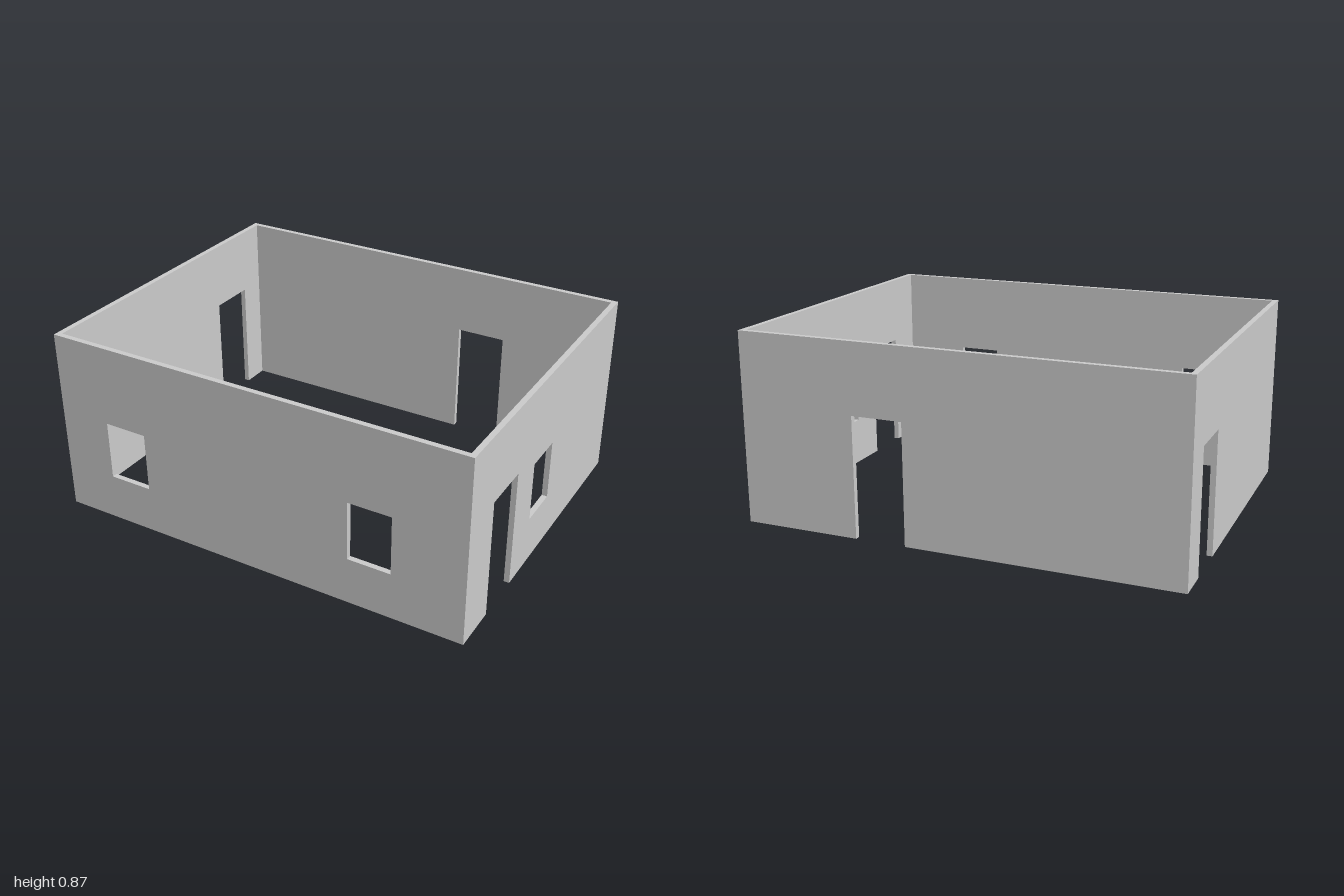
import * as THREE from 'three';

const HALF_X = 1, HALF_Z = 0.78, HEIGHT = 0.87, THICK = 0.025;
const DOOR_TOP = 0.55, SILL = 0.22, LINTEL = 0.495;

const material = new THREE.MeshStandardMaterial({ color: 0xcccccc, flatShading: true });

// Upright wall from -half to +half; doors notch the bottom edge, windows are holes.
// Openings are [start, end] along the wall.
function wall(name, half, { doors = [], windows = [] }) {
  const shape = new THREE.Shape();
  shape.moveTo(-half, 0);
  for (const [a, b] of doors) {
    shape.lineTo(a, 0);
    shape.lineTo(a, DOOR_TOP);
    shape.lineTo(b, DOOR_TOP);
    shape.lineTo(b, 0);
  }
  shape.lineTo(half, 0);
  shape.lineTo(half, HEIGHT);
  shape.lineTo(-half, HEIGHT);
  shape.closePath();

  for (const [a, b] of windows) {
    const hole = new THREE.Path();
    hole.moveTo(a, SILL);
    hole.lineTo(a, LINTEL);
    hole.lineTo(b, LINTEL);
    hole.lineTo(b, SILL);
    hole.closePath();
    shape.holes.push(hole);
  }

  const geometry = new THREE.ExtrudeGeometry(shape, { depth: THICK, bevelEnabled: false });
  const mesh = new THREE.Mesh(geometry, material);
  mesh.name = name;
  return mesh;
}

export function createModel() {
  const house = new THREE.Group();
  house.name = 'houseWalls';

  // Front wall with two windows
  const front = wall('frontWall', HALF_X, { windows: [[-0.75, -0.545], [0.47, 0.67]] });
  front.position.z = HALF_Z - THICK;

  // Back wall with a door
  const back = wall('backWall', HALF_X, { doors: [[0.225, 0.46]] });
  back.position.z = -HALF_Z;

  // Side walls fit between front and back; their length runs along +z
  const sideHalf = HALF_Z - THICK;
  const left = wall('leftWall', sideHalf, { doors: [[0.325, 0.562]], windows: [[-0.055, 0.145]] });
  left.rotation.y = -Math.PI / 2;
  left.position.x = HALF_X;

  const right = wall('rightWall', sideHalf, { doors: [[-0.62, -0.385]] });
  right.rotation.y = -Math.PI / 2;
  right.position.x = -HALF_X + THICK;

  house.add(front, back, left, right);
  return house;
}
